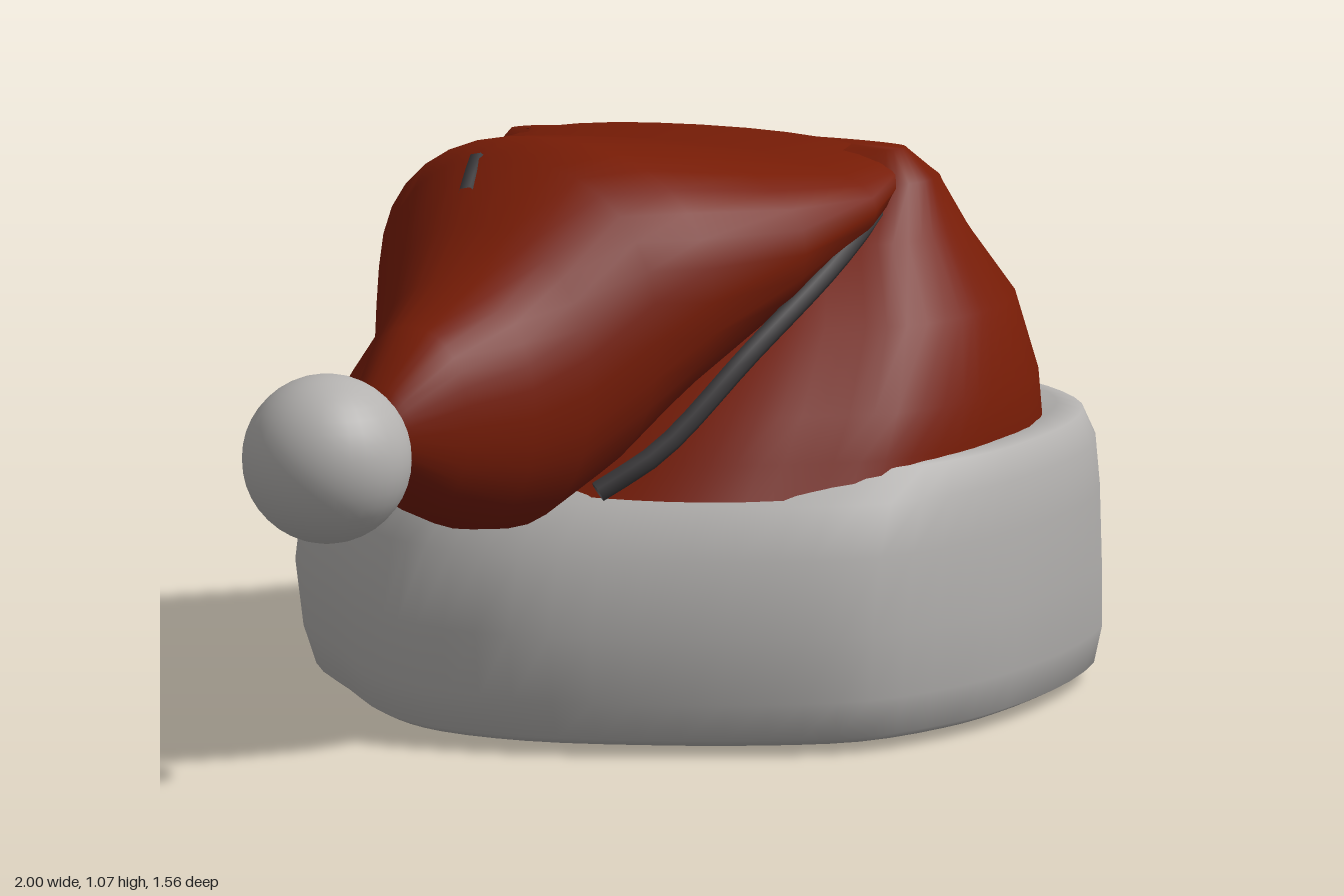
import * as THREE from 'three';

const red = new THREE.MeshStandardMaterial({ color: 0x771c06 });
red.name = 'red felt';
const fur = new THREE.MeshStandardMaterial({ color: 0xb4b2b0 });
fur.name = 'pale fur';
const lining = new THREE.MeshStandardMaterial({ color: 0x3a383a, side: THREE.DoubleSide });
lining.name = 'dark lining';

// Joins closed rings of equal length into one smooth skin
function loft(rings) {
  const n = rings[0].length, pos = [], index = [];
  rings.forEach((ring) => ring.forEach((p) => pos.push(...p)));
  for (let j = 0; j < rings.length - 1; j++) {
    for (let i = 0; i < n; i++) {
      const k = (i + 1) % n;
      const a = j * n + i, b = a + n, c = j * n + k, d = c + n;
      index.push(a, b, c, c, b, d);
    }
  }
  const geo = new THREE.BufferGeometry();
  geo.setAttribute('position', new THREE.Float32BufferAttribute(pos, 3));
  geo.setIndex(index);
  geo.computeVertexNormals();
  return geo;
}

// Smooth closed outline through (x, z) points, scaled to a unit box
function makeOutline(plan, [x0, x1, z0, z1]) {
  const n = plan.length * 3;
  const points = plan.map(([x, z]) => new THREE.Vector3((x - x0) / (x1 - x0), 0, (z - z0) / (z1 - z0)));
  return new THREE.CatmullRomCurve3(points, true, 'centripetal').getPoints(n).slice(0, n);
}

// An outline fitted into a box at height y, optionally sloping along z
function fit(outline, [y, x0, x1, z0, z1, tilt = 0]) {
  return outline.map((p) => {
    const z = z0 + p.z * (z1 - z0);
    return [x0 + p.x * (x1 - x0), y + tilt * z, z];
  });
}

// Egg-shaped band plan: the front left corner is sharp at the hem, blunt above
const bluntCorner = [[0.965, 0.32], [0.94, 0.44], [0.84, 0.6], [0.67, 0.7]];
const sharpCorner = [[0.955, 0.3], [0.94, 0.43], [0.925, 0.56], [0.7, 0.69]];
const brimPlan = (corner) => makeOutline([
  [1, -0.2], [0.99, 0.08], ...corner,
  [0.42, 0.76], [0.25, 0.77], [0.04, 0.73], [-0.11, 0.61], [-0.26, 0.42], [-0.37, 0.22],
  [-0.4, 0.03], [-0.36, -0.11], [-0.22, -0.31], [-0.06, -0.52], [0.11, -0.62],
  [0.31, -0.73], [0.52, -0.78], [0.7, -0.73], [0.85, -0.62], [0.96, -0.4],
], [-0.4, 1, -0.78, 0.77]);
const blunt = brimPlan(bluntCorner), sharp = brimPlan(sharpCorner);

// Rounder plan of the felt crown
const crownOutline = makeOutline([
  [0.92, -0.1], [0.91, 0.1], [0.88, 0.3], [0.78, 0.5], [0.6, 0.66], [0.42, 0.71], [0.28, 0.72],
  [0.1, 0.69], [-0.02, 0.6], [-0.12, 0.51], [-0.2, 0.38], [-0.25, 0.2], [-0.25, 0], [-0.18, -0.2],
  [-0.05, -0.38], [0.03, -0.5], [0.15, -0.6], [0.33, -0.67], [0.51, -0.67], [0.7, -0.61],
  [0.82, -0.48], [0.88, -0.35],
], [-0.25, 0.92, -0.67, 0.72]);

function add(group, name, geometry, material) {
  const mesh = new THREE.Mesh(geometry, material);
  mesh.name = name;
  group.add(mesh);
  return mesh;
}

export function createModel() {
  const hat = new THREE.Group();
  hat.name = 'floppyHat';

  // Thick fur band: y, x min, x max, z min, z max
  add(hat, 'furBrim', loft([
    [0.03, -0.29, 0.92, -0.68, 0.69],
    [0.015, -0.33, 0.935, -0.71, 0.715],
    [0.03, -0.365, 0.965, -0.735, 0.745],
    [0.10, -0.39, 0.98, -0.76, 0.765],
    [0.22, -0.40, 0.99, -0.78, 0.775],
    [0.36, -0.375, 1.0, -0.775, 0.775],
    [0.45, -0.30, 0.99, -0.745, 0.76],
    [0.505, -0.22, 0.96, -0.70, 0.735],
    [0.52, -0.15, 0.90, -0.64, 0.70],
    [0.45, 0.0, 0.75, -0.50, 0.56],
  ].map((box) => {
    const blend = THREE.MathUtils.clamp((box[0] - 0.05) / 0.3, 0, 1);
    return fit(sharp.map((p, i) => p.clone().lerp(blunt[i], blend)), box);
  })), fur);

  // Dark underside closing the opening
  add(hat, 'lining', loft([
    [0.0, 0.3, 0.3, 0.05, 0.05],
    [0.008, -0.1, 0.7, -0.4, 0.45],
    [0.024, -0.30, 0.925, -0.69, 0.70],
  ].map((box) => fit(sharp, box))), lining);

  // Lower crown rising to a ridge that runs front to back
  add(hat, 'crown', loft([
    [0.46, -0.25, 0.925, -0.675, 0.72],
    [0.52, -0.20, 0.91, -0.65, 0.715],
    [0.60, -0.13, 0.88, -0.61, 0.71],
    [0.74, 0.02, 0.82, -0.56, 0.66],
    [0.85, 0.17, 0.73, -0.51, 0.56, 0.03],
    [0.93, 0.30, 0.63, -0.48, 0.52, 0.06],
    [0.975, 0.38, 0.53, -0.44, 0.47, 0.085],
    [0.98, 0.45, 0.45, -0.30, 0.35, 0.085],
  ].map((box) => fit(crownOutline, box))), red);

  // Folded tail: x, y min, y max, z min, z max, sideways tilt
  const tail = [
    [0.56, 0.93, 0.93, -0.30, 0.30, 0.08],
    [0.53, 0.89, 0.97, -0.43, 0.43, 0.08],
    [0.45, 0.86, 1.00, -0.48, 0.48, 0.08],
    [0.30, 0.78, 1.00, -0.47, 0.53, 0.08],
    [0.10, 0.66, 1.04, -0.40, 0.53, 0.07],
    [-0.09, 0.53, 1.07, -0.30, 0.47, 0.04],
    [-0.20, 0.45, 1.05, -0.22, 0.43, 0.02],
    [-0.33, 0.40, 0.95, -0.12, 0.38, 0],
    [-0.45, 0.42, 0.87, -0.03, 0.35, 0],
    [-0.58, 0.47, 0.81, 0.05, 0.30, 0],
    [-0.69, 0.55, 0.72, 0.11, 0.26, 0],
    [-0.73, 0.62, 0.62, 0.19, 0.19, 0],
  ];
  add(hat, 'foldedTail', loft(tail.map(([x, y0, y1, z0, z1, tilt]) =>
    Array.from({ length: 32 }, (_, i) => {
      const a = (i / 32) * Math.PI * 2;
      const round = (v) => Math.sign(v) * Math.abs(v) ** 0.9;
      const dz = round(Math.sin(a)) * (z1 - z0) / 2;
      return [x, (y0 + y1) / 2 + round(Math.cos(a)) * (y1 - y0) / 2 + tilt * dz, (z0 + z1) / 2 + dz];
    }))), red);

  // Shadowed slits in the folds where the tail meets the crown, and a dent on the tail
  const folds = {
    frontFold: [[-0.26, 0.48, 0.34], [-0.17, 0.55, 0.41], [0, 0.71, 0.48], [0.2, 0.84, 0.505], [0.43, 0.95, 0.465]],
    backFold: [[-0.1, 0.6, -0.26], [0.0, 0.70, -0.33], [0.14, 0.80, -0.42], [0.34, 0.88, -0.465]],
    tailDent: [[-0.26, 0.985, 0.04], [-0.22, 1.01, 0.02], [-0.18, 1.03, 0]],
  };
  for (const [name, points] of Object.entries(folds)) {
    const path = new THREE.CatmullRomCurve3(points.map((p) => new THREE.Vector3(...p)));
    add(hat, name, new THREE.TubeGeometry(path, 16, 0.02, 6), lining);
  }

  // Pompom on the tip
  add(hat, 'pompom', new THREE.SphereGeometry(0.153, 32, 20), fur).position.set(-0.847, 0.613, 0.19);

  return hat;
}
